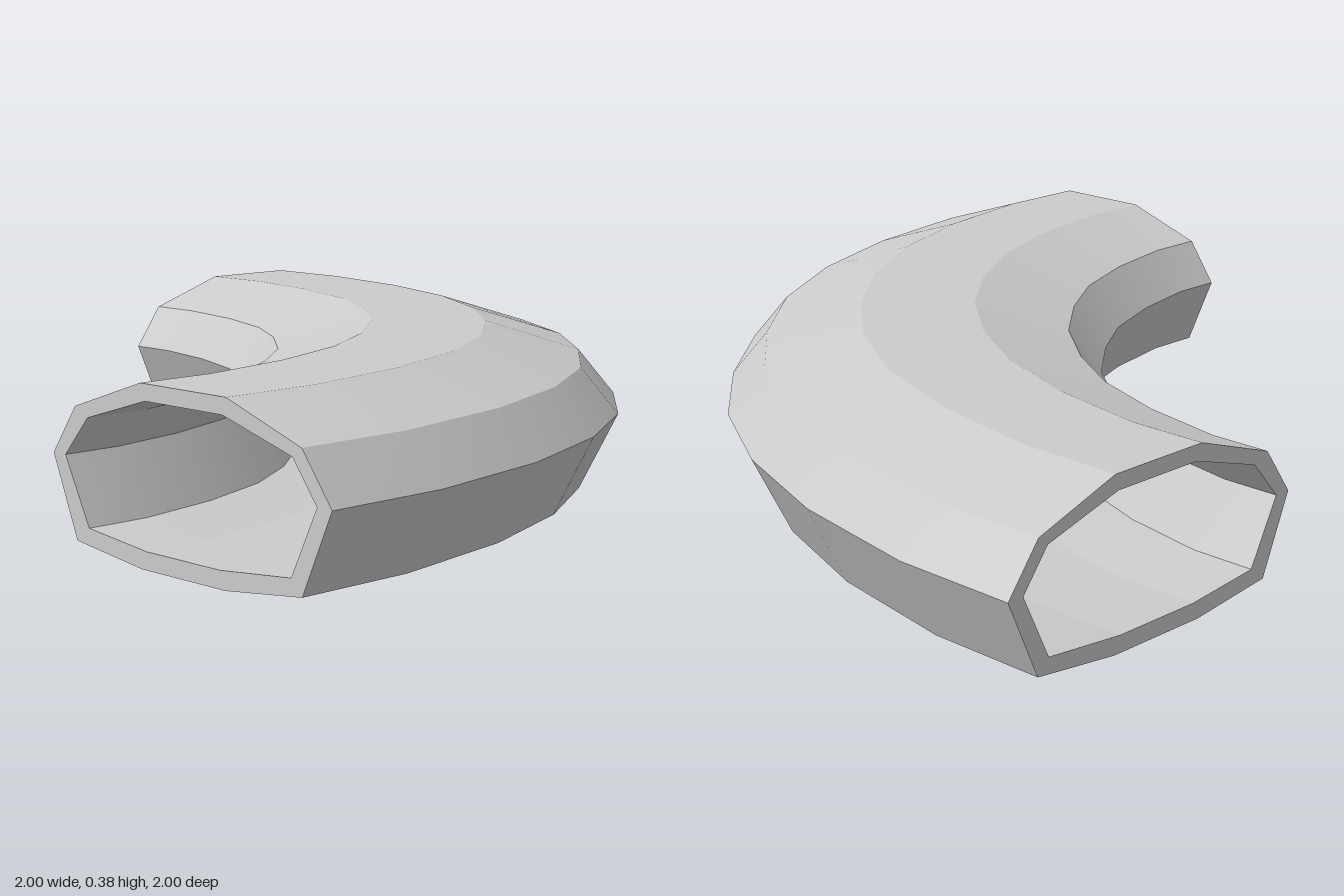
import * as THREE from 'three';
import { mergeGeometries } from 'three/addons/utils/BufferGeometryUtils.js';

// Plan of the bend: inner and outer edge, measured from the bend's corner, up to the diagonal
const mirrorHalf = (h) => [...h, ...h.slice(0, -1).reverse().map(([u, v]) => [v, u])];
const outerEdge = mirrorHalf([[2, 0], [2, 0.29], [1.94, 0.63], [1.83, 0.94], [1.67, 1.22], [1.46, 1.46]]);
const innerEdge = mirrorHalf([[1.17, 0], [1.17, 0.13], [1.13, 0.32], [1.06, 0.51], [0.96, 0.67], [0.83, 0.83]]);

// Cross-sections at the front end (x, y), counter-clockwise from the inner side of the bend
const outside = [[0.17, 0.2], [0.245, 0.025], [0.455, 0], [0.705, 0], [0.92, 0.025],
  [1, 0.2], [0.92, 0.305], [0.71, 0.375], [0.455, 0.375], [0.245, 0.305]];
const bore = [[0.21, 0.2], [0.285, 0.057], [0.47, 0.038], [0.69, 0.038], [0.89, 0.057],
  [0.96, 0.2], [0.895, 0.285], [0.7, 0.34], [0.47, 0.34], [0.285, 0.285]];

// One profile corner carried along the whole bend
function rail([x, y]) {
  const t = (x - 0.17) / 0.83;
  return outerEdge.map(([u, v], i) => {
    const [a, b] = innerEdge[i];
    return [-1 + a + (u - a) * t, y, 1 - b - (v - b) * t];
  });
}

// Smooth strip between two rows of points
function strip(rowA, rowB) {
  const position = [], index = [];
  rowA.forEach((p, i) => {
    position.push(...p, ...rowB[i]);
    const k = 2 * i;
    if (i < rowA.length - 1) index.push(k, k + 2, k + 3, k, k + 3, k + 1);
  });
  const g = new THREE.BufferGeometry();
  g.setAttribute('position', new THREE.Float32BufferAttribute(position, 3));
  g.setIndex(index);
  g.computeVertexNormals();
  return g;
}

export function createModel() {
  const group = new THREE.Group();
  group.name = 'pipeBend';
  const material = new THREE.MeshStandardMaterial({ color: 0xcccccc });
  const add = (name, parts) => {
    const mesh = new THREE.Mesh(mergeGeometries(parts), material);
    mesh.name = name;
    group.add(mesh);
  };
  const outerRails = outside.map(rail), boreRails = bore.map(rail);
  const next = (rails, j) => rails[(j + 1) % rails.length];

  // Outer shell and inner bore, with a crisp edge at each profile corner
  add('outerShell', outerRails.map((r, j) => strip(r, next(outerRails, j))));
  add('innerBore', boreRails.map((r, j) => strip(next(boreRails, j), r)));

  // Flat rims closing the wall at both ends
  const ring = (rails, i) => [...rails, rails[0]].map((r) => r[i]);
  const last = outerEdge.length - 1;
  add('frontRim', [strip(ring(outerRails, 0), ring(boreRails, 0))]);
  add('sideRim', [strip(ring(boreRails, last), ring(outerRails, last))]);
  return group;
}
